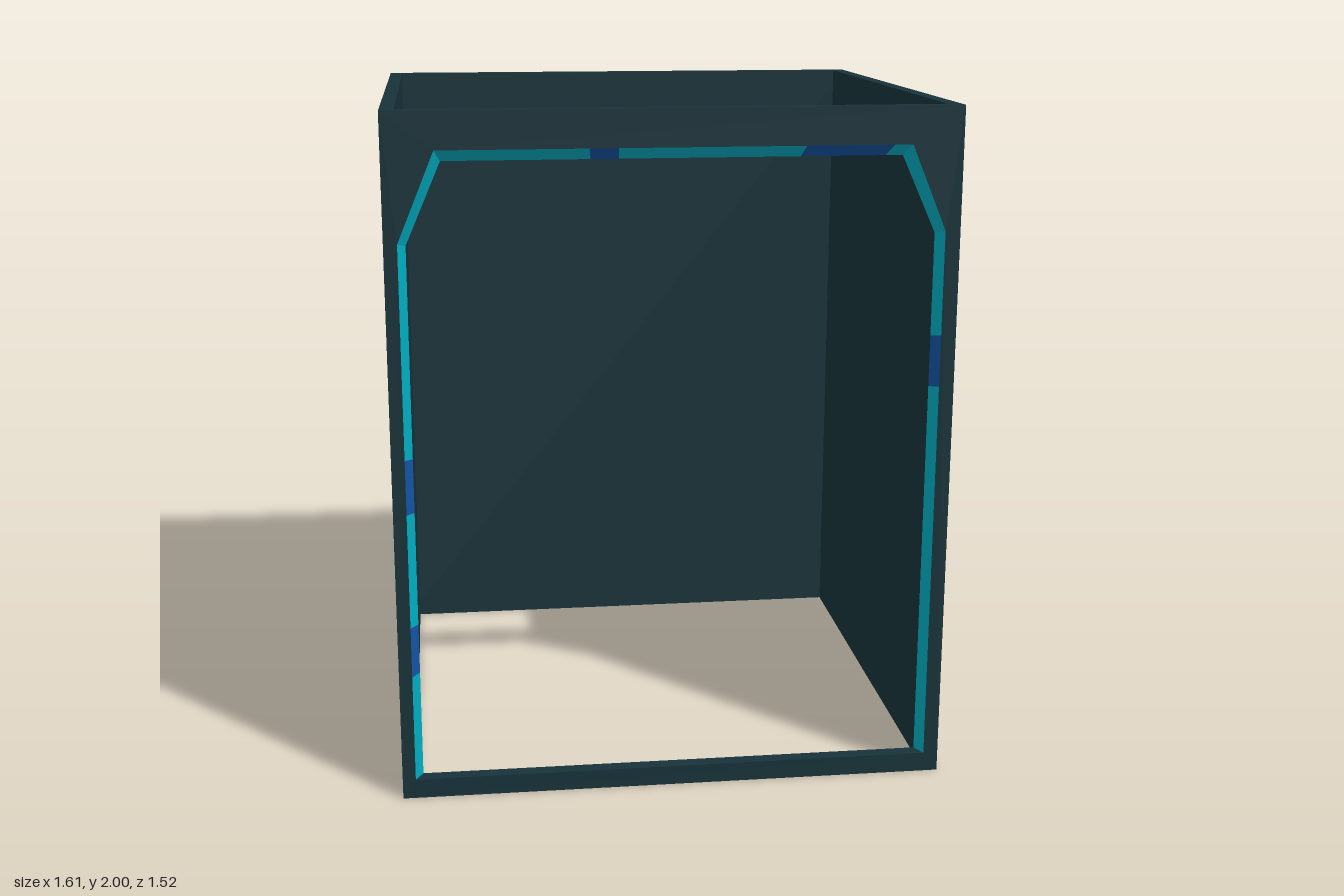
import * as THREE from 'three';

const W = 0.803, D = 0.76, H = 2, T = 0.04;

const mat = (name, color) => {
  const m = new THREE.MeshStandardMaterial({ color });
  m.name = name;
  return m;
};

// Flat quads, each given as four corners in counterclockwise order
function quadGeometry(quads) {
  const pos = [];
  for (const [a, b, c, d] of quads) for (const p of [a, b, c, a, c, d]) pos.push(...p);
  const g = new THREE.BufferGeometry();
  g.setAttribute('position', new THREE.Float32BufferAttribute(pos, 3));
  g.computeVertexNormals();
  return g;
}

export function createModel() {
  const slate = mat('dark slate', 0x18333a);
  const teal = mat('teal', 0x00aec3);
  const blue = mat('deep blue', 0x1453a5);

  const model = new THREE.Group();
  model.name = 'openFrontCabinet';
  const add = (parent, name, geometry, material) => {
    const mesh = new THREE.Mesh(geometry, material);
    mesh.name = name;
    parent.add(mesh);
    return mesh;
  };

  // Back and side walls; top and bottom stay open
  add(model, 'backWall', new THREE.BoxGeometry(2 * W, H, T), slate).position.set(0, H / 2, -D + T / 2);
  for (const s of [1, -1]) {
    add(model, s > 0 ? 'leftWall' : 'rightWall', new THREE.BoxGeometry(T, H, 2 * (D - T)), slate)
      .position.set(s * (W - T / 2), H / 2, 0);
  }

  // Front wall: the opening tapers from its front outline to its back outline
  const front = new THREE.Group();
  front.name = 'frontFrame';
  model.add(front);
  const outer = [[-W, 0], [W, 0], [W, H], [-W, H]];
  const holeFront = [[-0.765, 0.058], [0.76, 0.058], [0.76, 1.65], [0.658, 1.893], [-0.66, 1.893], [-0.765, 1.64]];
  const holeBack = [[-0.743, 0.058], [0.74, 0.058], [0.74, 1.64], [0.64, 1.86], [-0.643, 1.86], [-0.743, 1.63]];
  const toVec = ([x, y]) => new THREE.Vector2(x, y);
  const face = (hole, z) => {
    const shape = new THREE.Shape(outer.map(toVec));
    shape.holes.push(new THREE.Path(hole.map(toVec)));
    return new THREE.ShapeGeometry(shape).translate(0, 0, z);
  };
  add(front, 'frontFace', face(holeFront, D), slate);
  // Mirrored outline turned half round, so that it faces inward
  const mirrored = holeBack.map(([x, y]) => [-x, y]).reverse();
  add(front, 'innerFace', face(mirrored, 0).rotateY(Math.PI).translate(0, 0, D - T), slate);

  // Outer rim of the front wall
  add(front, 'outerRim', quadGeometry(outer.map((a, i) => {
    const b = outer[(i + 1) % 4];
    return [[...a, D], [...a, D - T], [...b, D - T], [...b, D]];
  })), slate);

  // Slanted reveal: bands along each edge, blue where listed (x for the top, y for the sides)
  const blueBands = { 1: [[1.2, 1.35]], 3: [[0.36, 0.607], [-0.24, -0.16]], 5: [[0.38, 0.53], [0.87, 1.03]] };
  const bands = { sill: [], tealTrim: [], blueTrim: [] };
  const lerp = (a, b, t, z) => [a[0] + (b[0] - a[0]) * t, a[1] + (b[1] - a[1]) * t, z];
  holeFront.forEach((a, i) => {
    const j = (i + 1) % holeFront.length;
    const b = holeFront[j], axis = i === 3 ? 0 : 1;
    const cuts = (blueBands[i] || []).flat().map(v => (v - a[axis]) / (b[axis] - a[axis]));
    const stops = [0, ...cuts.sort((p, q) => p - q), 1];
    for (let k = 0; k + 1 < stops.length; k++) {
      const [s, e] = [stops[k], stops[k + 1]];
      const band = bands[i === 0 ? 'sill' : k % 2 ? 'blueTrim' : 'tealTrim'];
      const backStart = lerp(holeBack[i], holeBack[j], s, D - T);
      const backEnd = lerp(holeBack[i], holeBack[j], e, D - T);
      band.push([lerp(a, b, s, D), lerp(a, b, e, D), backEnd, backStart]);
      // The upright trims also show as a narrow strip on the inner face
      if (i === 1 || i === 5) {
        const x = Math.sign(a[0]) * (W - T), z = D - T - 0.003;
        band.push([
          [backStart[0], backStart[1], z], [backEnd[0], backEnd[1], z],
          [x, backEnd[1], z], [x, backStart[1], z],
        ]);
      }
    }
  });
  add(front, 'sill', quadGeometry(bands.sill), slate);
  add(front, 'tealTrim', quadGeometry(bands.tealTrim), teal);
  add(front, 'blueTrim', quadGeometry(bands.blueTrim), blue);

  return model;
}
